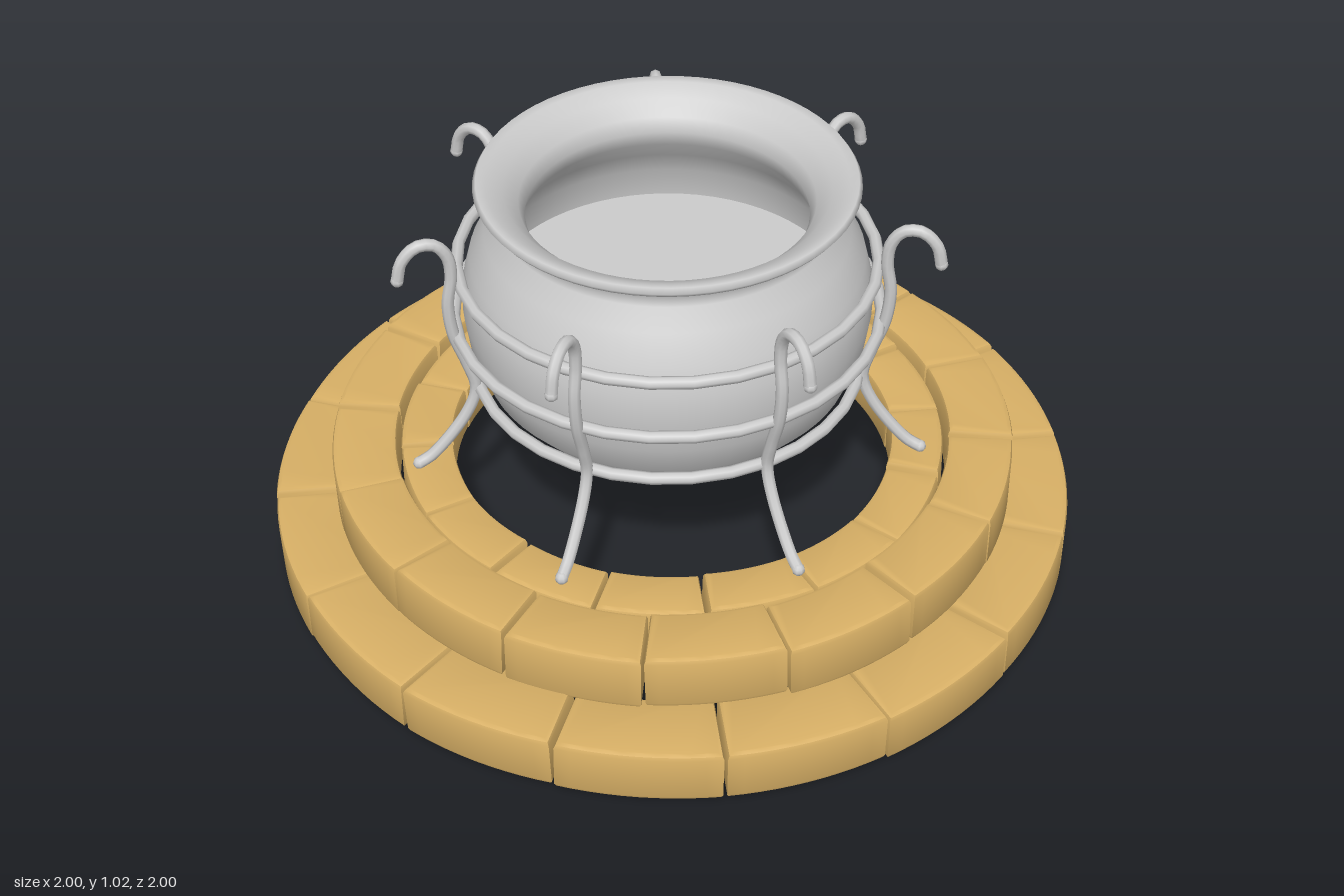
import * as THREE from 'three';
import { toCreasedNormals } from 'three/addons/utils/BufferGeometryUtils.js';

const metal = new THREE.MeshStandardMaterial({ color: 0xcccccc, side: THREE.DoubleSide });
const stone = new THREE.MeshStandardMaterial({ color: 0xd8b066 });

// Small seeded generator, returns -1..1
let seed = 7;
function jitter() {
  seed = (seed * 16807) % 2147483647;
  return (seed / 2147483647) * 2 - 1;
}

function add(parent, name, geometry, material) {
  const mesh = new THREE.Mesh(geometry, material);
  mesh.name = name;
  parent.add(mesh);
  return mesh;
}

// Bevelled ring-sector brick, centred on its own middle
function brickGeometry(inner, outer, height, count, gap) {
  const half = Math.PI / count;
  const a = half - gap / outer, b = half - gap / inner;
  const bevel = 0.012;
  const shape = new THREE.Shape();
  shape.absarc(0, 0, outer, -a, a, false);
  shape.absarc(0, 0, inner, b, -b, true);
  shape.closePath();
  const geo = new THREE.ExtrudeGeometry(shape, {
    depth: height - 2 * bevel, curveSegments: 5,
    bevelSize: bevel, bevelThickness: bevel, bevelOffset: -bevel, bevelSegments: 2,
  });
  geo.translate(-(inner + outer) / 2, 0, bevel - height / 2);
  geo.rotateX(-Math.PI / 2);
  return toCreasedNormals(geo, 0.6);
}

// Ring of slightly uneven bricks
function brickRing(name, inner, outer, bottom, top, offset) {
  const count = 16, ring = new THREE.Group();
  ring.name = name;
  const geo = brickGeometry(inner, outer, top - bottom, count, 0.004);
  const mid = (inner + outer) / 2;
  for (let i = 0; i < count; i++) {
    const angle = ((i + offset) / count) * Math.PI * 2;
    const brick = add(ring, 'brick', geo, stone);
    brick.position.set(mid * Math.cos(angle), (bottom + top) / 2 + jitter() * 0.007, -mid * Math.sin(angle));
    brick.rotation.set(jitter() * 0.03, angle + jitter() * 0.008, jitter() * 0.03, 'YXZ');
  }
  return ring;
}

// Pot wall: outside from the bottom up, over the rim, down the throat inside
function potGeometry() {
  const points = [
    [0, 0.345], [0.12, 0.349], [0.22, 0.366], [0.32, 0.4], [0.4, 0.447], [0.45, 0.505], [0.482, 0.59],
    [0.494, 0.68], [0.49, 0.75], [0.472, 0.82], [0.435, 0.89], [0.402, 0.94], [0.395, 0.965],
    [0.415, 0.985], [0.445, 1.0], [0.455, 1.013], [0.447, 1.025], [0.425, 1.022], [0.385, 1.0],
    [0.35, 0.965], [0.335, 0.93], [0.345, 0.89], [0.39, 0.83], [0.43, 0.76], [0.44, 0.68],
  ].map(([x, y]) => new THREE.Vector2(x, y));
  return new THREE.LatheGeometry(points, 64);
}

// Hooked leg: foot on the stones, bent against the bands, curled at the top
function makeLeg() {
  const leg = new THREE.Group();
  leg.name = 'hookedLeg';
  const path = [
    [0.635, 0.295], [0.6, 0.315], [0.51, 0.425], [0.482, 0.5], [0.5, 0.58], [0.528, 0.67], [0.536, 0.76],
    [0.524, 0.84], [0.53, 0.895], [0.558, 0.932], [0.6, 0.935], [0.637, 0.9], [0.65, 0.85],
  ].map(([r, y]) => new THREE.Vector3(r, y, 0));
  add(leg, 'rod', new THREE.TubeGeometry(new THREE.CatmullRomCurve3(path), 48, 0.015, 8), metal);
  for (const end of [path[0], path[path.length - 1]]) {
    add(leg, 'rodEnd', new THREE.SphereGeometry(0.016, 8, 6), metal).position.copy(end);
  }
  return leg;
}

export function createModel() {
  const model = new THREE.Group();
  model.name = 'cauldronOnStoneRing';

  // Stepped stone surround
  model.add(brickRing('lowerStoneRing', 0.82, 1.0, 0.015, 0.155, 0));
  model.add(brickRing('upperStoneRing', 0.69, 0.85, 0.155, 0.298, 0.5));
  model.add(brickRing('innerStoneRing', 0.55, 0.68, 0.15, 0.282, 0));

  // Pot and its stand, set slightly to one side
  const cauldron = new THREE.Group();
  cauldron.name = 'cauldron';
  cauldron.position.x = -0.018;
  model.add(cauldron);

  add(cauldron, 'pot', potGeometry(), metal);
  const floor = add(cauldron, 'potFloor', new THREE.CircleGeometry(0.44, 64), metal);
  floor.rotation.x = -Math.PI / 2;
  floor.position.y = 0.68;

  // Iron bands
  for (const [radius, y] of [[0.472, 0.5], [0.517, 0.66], [0.503, 0.805]]) {
    const band = add(cauldron, 'band', new THREE.TorusGeometry(radius, 0.015, 8, 32), metal);
    band.rotation.x = Math.PI / 2;
    band.position.y = y;
  }

  // Seven legs, the first at the back
  for (let i = 0; i < 7; i++) {
    const leg = makeLeg();
    leg.rotation.y = Math.PI / 2 + 0.017 - (i * Math.PI * 2) / 7;
    cauldron.add(leg);
  }
  return model;
}
